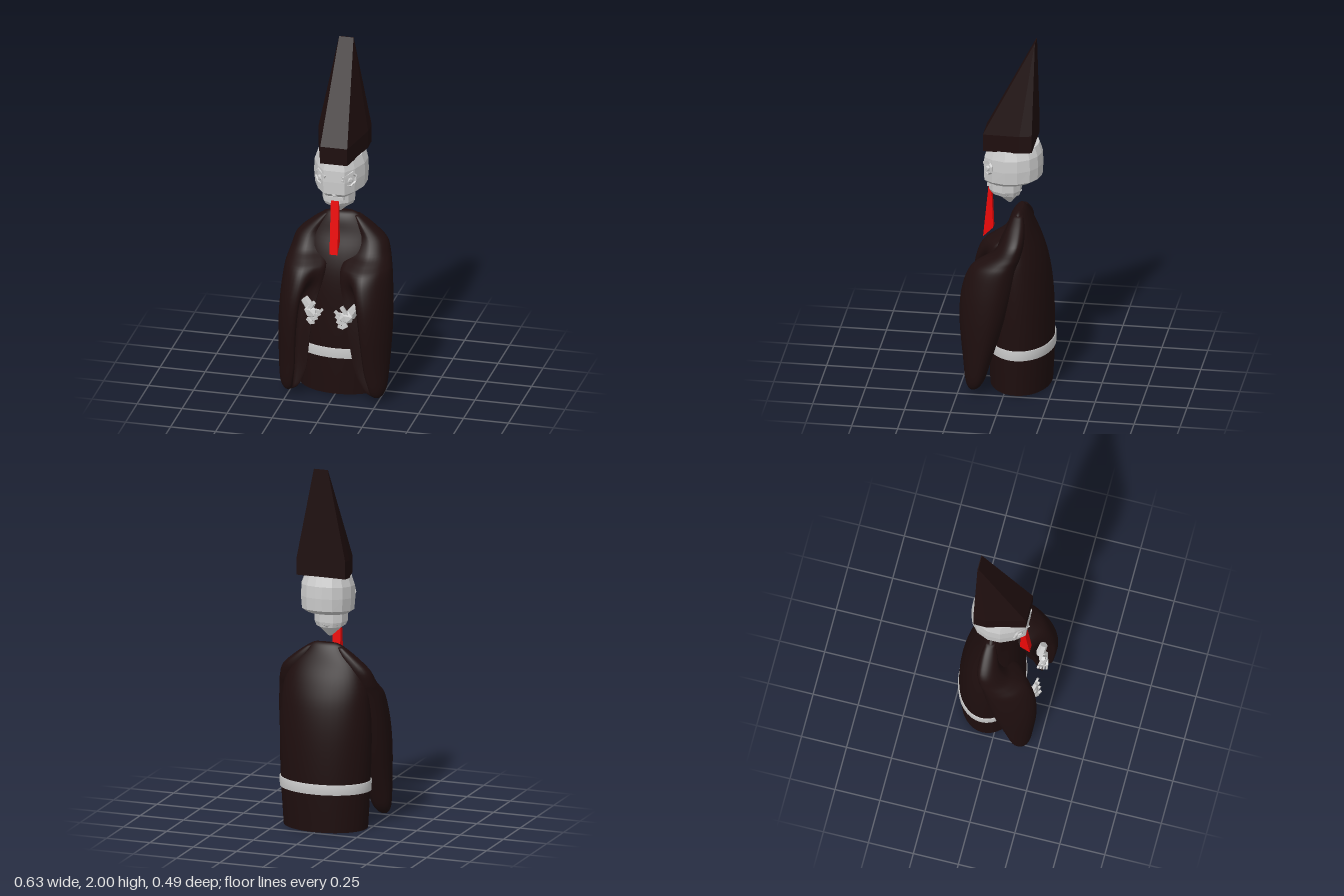
import * as THREE from 'three';

const robeMat = new THREE.MeshStandardMaterial({ color: 0x1e0e0e, side: THREE.DoubleSide });
const hatMat = new THREE.MeshStandardMaterial({ color: 0x1e0e0e, flatShading: true });
const boneMat = new THREE.MeshStandardMaterial({ color: 0xcccccc, flatShading: true });
const beltMat = new THREE.MeshStandardMaterial({ color: 0xcccccc, side: THREE.DoubleSide });
const redMat = new THREE.MeshStandardMaterial({ color: 0xee0808, flatShading: true });

function add(parent, name, geometry, material, x = 0, y = 0, z = 0) {
  const mesh = new THREE.Mesh(geometry, material);
  mesh.name = name;
  mesh.position.set(x, y, z);
  parent.add(mesh);
  return mesh;
}

// Skin over loops listed from bottom to top, each running +x -> +z -> -x
function loft(loops, capBottom = true, capTop = true) {
  const n = loops[0].length, pos = loops.flat(2), index = [];
  for (let r = 0; r < loops.length - 1; r++) {
    for (let i = 0; i < n; i++) {
      const a = r * n + i, b = r * n + (i + 1) % n;
      index.push(a, a + n, b, b, a + n, b + n);
    }
  }
  const cap = (loop, start, up) => {
    const c = pos.length / 3;
    for (let k = 0; k < 3; k++) pos.push(loop.reduce((s, p) => s + p[k], 0) / n);
    for (let i = 0; i < n; i++) {
      const a = start + i, b = start + (i + 1) % n;
      index.push(...(up ? [c, b, a] : [c, a, b]));
    }
  };
  if (capBottom) cap(loops[0], 0, false);
  if (capTop) cap(loops[loops.length - 1], (loops.length - 1) * n, true);
  const g = new THREE.BufferGeometry();
  g.setAttribute('position', new THREE.Float32BufferAttribute(pos, 3));
  g.setIndex(index);
  g.computeVertexNormals();
  return g;
}

// Oval ring from half width, front z and back z
function oval(y, rx, zf, zb, n = 40) {
  return Array.from({ length: n }, (_, i) => {
    const a = (i / n) * Math.PI * 2;
    return [rx * Math.cos(a), y, (zf + zb) / 2 + (zf - zb) / 2 * Math.sin(a)];
  });
}

// Full symmetric outline from its +x half, listed back to front
const mirrored = half => [...half, ...half.map(([x, z]) => [-x, z]).reverse()];

// Interpolate rows of numbers smoothly
function smoothRows(rows, steps) {
  const out = [];
  for (let s = 0; s <= steps; s++) {
    const t = (s / steps) * (rows.length - 1), i = Math.min(Math.floor(t), rows.length - 2), f = t - i;
    const at = k => rows[Math.max(0, Math.min(rows.length - 1, k))];
    out.push(rows[0].map((_, c) => {
      const p0 = at(i - 1)[c], p1 = at(i)[c], p2 = at(i + 1)[c], p3 = at(i + 2)[c];
      return p1 + 0.5 * f * (p2 - p0 + f * (2 * p0 - 5 * p1 + 4 * p2 - p3 + f * (3 * (p1 - p2) + p3 - p0)));
    }));
  }
  return out;
}

// Wide sleeve: a bent teardrop outline stretched to each level, grooved at the cuff
function sleeve(side) {
  const outline = [[.45, 0], [.8, .03], [.97, .2], [1, .4], [.95, .63], [.79, .87], [.53, 1], [.35, .95],
    [.18, .84], [0, .68], [.02, .58], [.15, .42], [.25, .25], [.3, .08]];
  // y, inner x, outer x, back z, front z, groove depth
  const levels = smoothRows([
    [.035, .225, .265, .15, .185, 0], [.055, .19, .283, .125, .2, .08], [.1, .16, .297, .1, .212, .16],
    [.2, .12, .305, .07, .224, .24], [.4, .085, .313, .01, .244, .26], [.55, .06, .31, -.03, .243, .25],
    [.66, .035, .302, -.055, .221, .06], [.73, .028, .294, -.07, .185, 0], [.77, .04, .284, -.08, .13, 0],
    [.81, .07, .273, -.09, .07, 0], [.88, .08, .247, -.1, .022, 0], [.95, .07, .17, -.095, -.005, 0],
    [1.0, .06, .1, -.08, -.03, 0]], 48);
  return loft(levels.map(([y, inner, x1, z0, z1, groove]) => {
    // the right cuff is drawn a little further out and back
    const x0 = side > 0 ? inner : inner + .04 * Math.sin(Math.PI * y) * Math.min(1, (x1 - inner) * 5);
    const front = side > 0 ? z1 : z0 + (z1 - z0) * .94;
    const pts = outline.map(([u, v], i) => {
      const g = i === 8 ? groove : 0;
      return new THREE.Vector3(x0 + (x1 - x0) * (u + g * 1.1), 0, z0 + (front - z0) * (v - g));
    });
    const loop = new THREE.CatmullRomCurve3(pts, true).getPoints(42).slice(0, -1)
      .map(p => [side * p.x, y, p.z]);
    return side > 0 ? loop : loop.reverse();
  }));
}

// Bony half-closed hand, fingers fanned forward and curled inward
function hand(side) {
  const g = new THREE.Group();
  g.name = side > 0 ? 'leftHand' : 'rightHand';
  add(g, 'wrist', new THREE.CylinderGeometry(.022, .026, .06, 6), boneMat, .04, .02, -.018).rotation.set(.3, 0, -.9);
  add(g, 'palm', new THREE.IcosahedronGeometry(.036, 0), boneMat).scale.set(1.1, .9, .75);
  for (let i = 0; i < 4; i++) {
    const f = new THREE.Group();
    f.name = 'finger';
    f.position.set(-.022 + i * .004, .016 - i * .016, -.008 + i * .009);
    f.rotation.set(0, -.2 + i * .14, -.25 + i * .15);
    add(f, 'knuckle', new THREE.BoxGeometry(.034, .017, .013), boneMat, -.008, 0, 0);
    add(f, 'fingertip', new THREE.BoxGeometry(.024, .014, .011), boneMat, -.027, .007, 0).rotation.z = -.8;
    g.add(f);
  }
  add(g, 'thumb', new THREE.BoxGeometry(.018, .05, .017), boneMat, .002, .036, .006).rotation.z = .3;
  g.scale.set(side * 1.1, 1.15, 1);
  return g;
}

export function createModel() {
  const model = new THREE.Group();
  model.name = 'robedFigure';

  // Robe
  const robeRows = smoothRows([[0, .235, .105, -.23], [.25, .25, .11, -.241], [.5, .258, .105, -.235],
    [.68, .252, .09, -.213], [.8, .235, .06, -.178], [.9, .192, .018, -.135], [.97, .125, -.005, -.105],
    [1.005, .09, -.025, -.085], [1.018, .06, -.045, -.07]], 32);
  add(model, 'robe', loft(robeRows.map(r => oval(...r)), false), robeMat);

  // Belt
  add(model, 'belt', loft([oval(.212, .25, .11, -.24), oval(.214, .256, .115, -.247),
    oval(.268, .257, .116, -.248), oval(.27, .252, .11, -.24)], false, false), beltMat);

  for (const side of [1, -1]) {
    add(model, side > 0 ? 'leftSleeve' : 'rightSleeve', sleeve(side), robeMat);
    const h = hand(side);
    h.position.set(side > 0 ? .085 : -.115, side > 0 ? .495 : .505, side > 0 ? .195 : .185);
    h.rotation.set(0, side > 0 ? 0 : -.4, side * .3);
    model.add(h);
  }

  // Skull, tilted up toward the back
  const head = new THREE.Group();
  head.name = 'head';
  model.add(head);
  const skull = mirrored([[.02, -.178], [.075, -.163], [.12, -.125], [.145, -.06], [.142, .01], [.105, .085], [.06, .135]]);
  const ring = (outline, y, sx, sz, tilt) => outline.map(([x, z]) => [x * sx, y - z * tilt, z * sz]);
  add(head, 'skull', loft([ring(skull, 1.175, .72, .8, .1), ring(skull, 1.2, .96, .98, .1), ring(skull, 1.27, 1, 1, .1),
    ring(skull, 1.335, .98, .98, .1), ring(skull, 1.385, .86, .88, .1)]), boneMat);

  // Jaw and pointed neck stump
  const jaw = mirrored([[.04, -.06], [.08, -.03], [.092, .03], [.07, .085], [.03, .112]]);
  add(head, 'jaw', loft([ring(jaw, 1.1, .86, .9, -.05), ring(jaw, 1.125, .98, 1, 0), ring(jaw, 1.185, 1, 1, 0)]), boneMat);
  add(head, 'neck', loft([oval(1.042, .01, .012, -.008, 8), oval(1.112, .085, .085, -.065, 8)]), boneMat);
  add(head, 'upperLip', new THREE.BoxGeometry(.1, .018, .026), boneMat, 0, 1.157, .105);
  add(head, 'nose', new THREE.ConeGeometry(.026, .03, 4), boneMat, 0, 1.195, .116);

  // Sunken angry eyes
  for (const side of [1, -1]) {
    const eye = new THREE.Group();
    eye.name = side > 0 ? 'leftEye' : 'rightEye';
    eye.position.set(side * .08, 1.272, .106);
    eye.rotation.set(0, side * .65, side * .4);
    add(eye, 'socket', new THREE.TorusGeometry(.042, .008, 4, 7), boneMat).scale.y = .85;
    add(eye, 'eyeball', new THREE.IcosahedronGeometry(.02, 0), boneMat, 0, -.004, -.002);
    add(eye, 'brow', new THREE.BoxGeometry(.07, .016, .016), boneMat, 0, .028, .002);
    head.add(eye);
  }

  // Tongue: a wedge widening downward
  const slab = (w, yf, zf, yb, zb) => [[w, yb, zb], [w, yf, zf], [-w, yf, zf], [-w, yb, zb]];
  add(head, 'tongue', loft([slab(.022, .835, .145, .89, .09), slab(.022, 1.14, .115, 1.14, .1)]), redMat);

  // Tall hat leaning back to a thin ridge
  const brim = mirrored([[.14, -.138], [.138, -.07], [.075, .138]]);
  const ridge = mirrored([[.04, -.14], [.04, -.138], [.04, -.136]]);
  add(model, 'hat', loft([ring(brim, 1.382, 1, 1, .13), ring(brim, 1.48, 1, 1, .13),
    ridge.map(([x, z]) => [x, 2, z])]), hatMat);
  return model;
}
